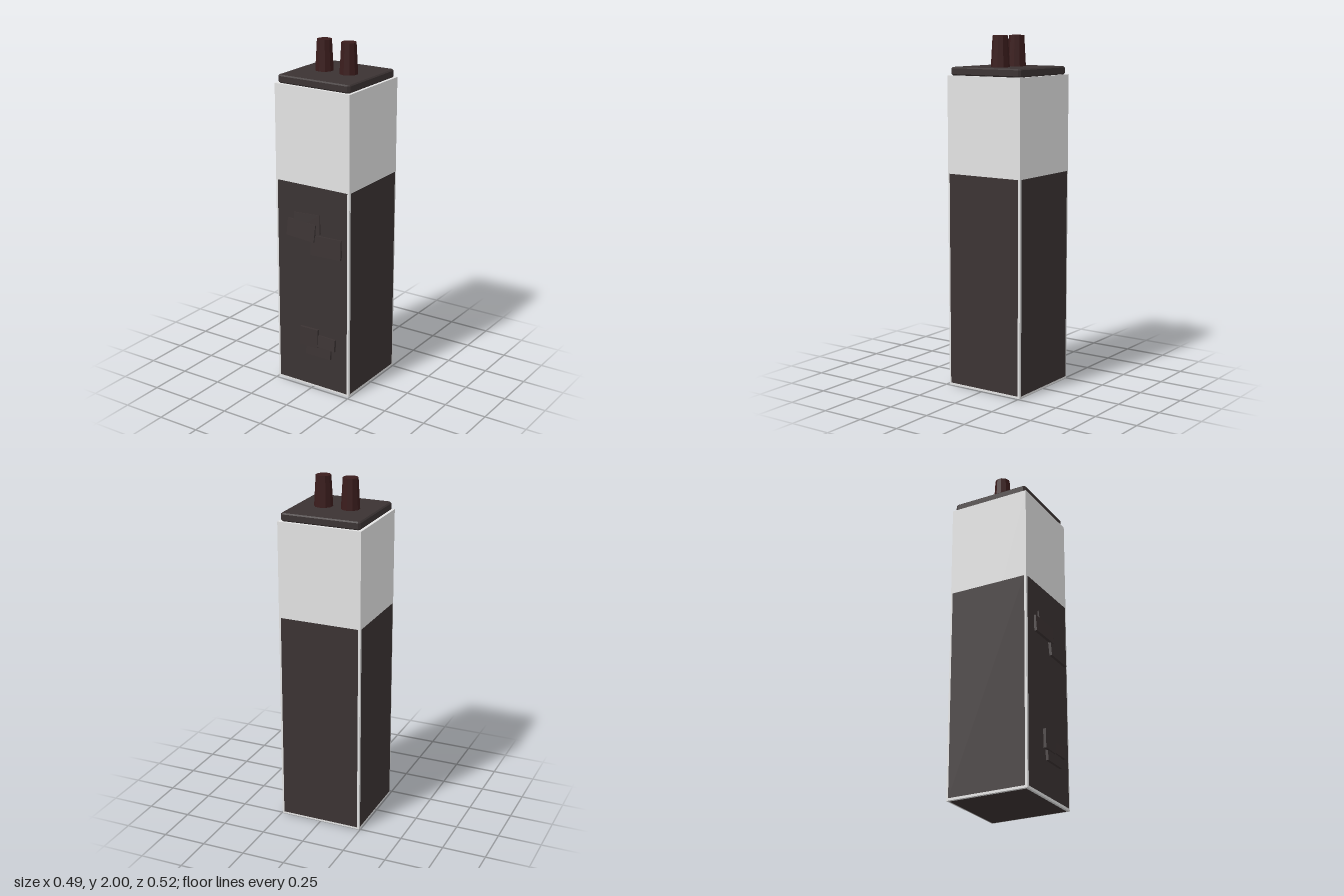
import * as THREE from 'three';

const charcoal = new THREE.MeshStandardMaterial({ color: 0x3b3333 });
charcoal.name = 'charcoal';
const paleGrey = new THREE.MeshStandardMaterial({ color: 0xe4e4e4 });
paleGrey.name = 'paleGrey';
const darkRed = new THREE.MeshStandardMaterial({ color: 0x3a1c1c });
darkRed.name = 'darkRed';

const CENTRE_Z = -0.0135;
const JAR_WIDTH = 0.488;
const JAR_HEIGHT = 1.78;
const PANEL_WIDTH = 0.464;
const PANEL_HEIGHT = 1.217;

function addMesh(parent, name, geometry, material, x, y, z) {
  const mesh = new THREE.Mesh(geometry, material);
  mesh.name = name;
  mesh.position.set(x, y, z);
  parent.add(mesh);
  return mesh;
}

// Square slab with cut corners and a chamfered rim, lying flat on its base
function chamferedSlab(half, height, bevel) {
  const a = half - bevel, c = a - 0.008;
  const shape = new THREE.Shape(
    [[-c, -a], [c, -a], [a, -c], [a, c], [c, a], [-c, a], [-a, c], [-a, -c]]
      .map(([x, y]) => new THREE.Vector2(x, y)));
  const geometry = new THREE.ExtrudeGeometry(shape, {
    depth: height - 2 * bevel, bevelEnabled: true,
    bevelThickness: bevel, bevelSize: bevel, bevelSegments: 1,
  });
  return geometry.rotateX(-Math.PI / 2).translate(0, bevel, 0);
}

export function createModel() {
  const model = new THREE.Group();
  model.name = 'batteryJar';

  // Pale square jar
  addMesh(model, 'jar', new THREE.BoxGeometry(JAR_WIDTH, JAR_HEIGHT, JAR_WIDTH),
    paleGrey, 0, JAR_HEIGHT / 2, CENTRE_Z);

  // Dark filling, seen as a thin panel on each wall and on the base
  const filling = new THREE.Group();
  filling.name = 'filling';
  filling.position.z = CENTRE_Z;
  model.add(filling);
  const reach = JAR_WIDTH / 2 + 0.002;
  for (let i = 0; i < 4; i++) {
    const angle = i * Math.PI / 2;
    const panel = addMesh(filling, `fillingPanel${i + 1}`,
      new THREE.PlaneGeometry(PANEL_WIDTH, PANEL_HEIGHT), charcoal,
      Math.sin(angle) * reach, 0.013 + PANEL_HEIGHT / 2, Math.cos(angle) * reach);
    panel.rotation.y = angle;
  }
  const base = addMesh(filling, 'fillingBase',
    new THREE.PlaneGeometry(PANEL_WIDTH, PANEL_WIDTH), charcoal, 0, -0.002, 0);
  base.rotation.x = Math.PI / 2;

  // Lid
  addMesh(model, 'lid', chamferedSlab(0.233, 0.046, 0.007), charcoal, 0, JAR_HEIGHT, CENTRE_Z);

  // Pair of tapered, faceted terminals
  for (const side of [-1, 1]) {
    const geometry = new THREE.CylinderGeometry(0.043, 0.053, 0.176, 10).toNonIndexed();
    geometry.computeVertexNormals();
    addMesh(model, side > 0 ? 'leftTerminal' : 'rightTerminal', geometry, darkRed,
      side * 0.08, 1.912, CENTRE_Z);
  }

  // Overlapping plates on the front: x, y, z, width, height, tilt, turn, roll
  const plates = [
    [-0.03, 1.01, 0.235, 0.17, 0.11, -0.08, 0.02, 0.06],
    [-0.065, 0.965, 0.243, 0.19, 0.10, -0.1, -0.03, -0.05],
    [0.1, 0.893, 0.242, 0.195, 0.115, -0.08, 0.04, 0.02],
    [-0.015, 0.32, 0.245, 0.12, 0.11, -0.02, 0.03, 0],
    [0.1, 0.305, 0.241, 0.12, 0.07, -0.1, -0.03, -0.02],
    [0.045, 0.25, 0.237, 0.165, 0.085, -0.06, 0.02, 0],
  ];
  plates.forEach(([x, y, z, w, h, tilt, turn, roll], i) => {
    const plate = addMesh(model, `frontPlate${i + 1}`, new THREE.BoxGeometry(w, h, 0.016),
      charcoal, x, y, z);
    plate.rotation.set(tilt, turn, roll);
  });

  return model;
}
